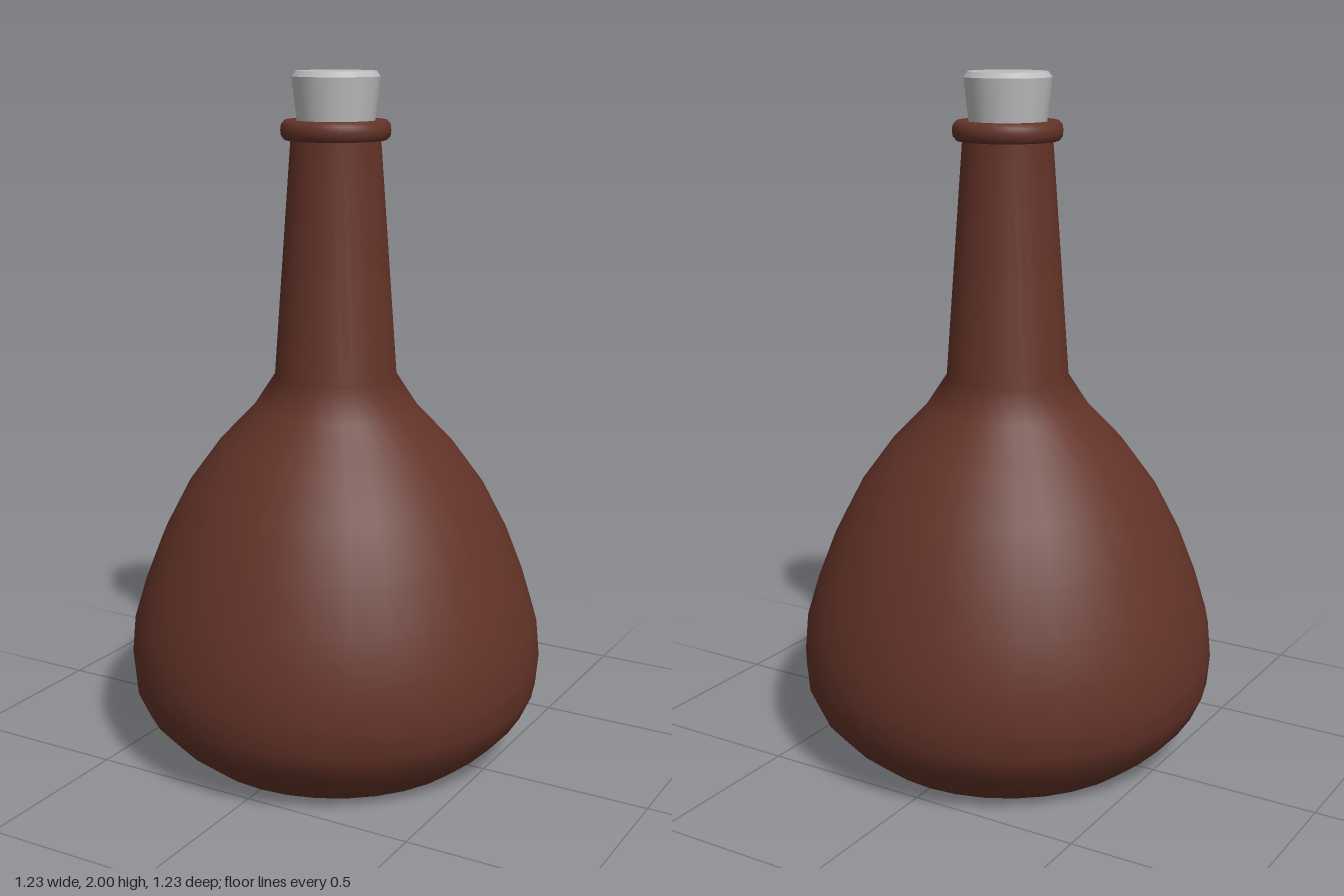
import * as THREE from 'three';

export function createModel() {
  const model = new THREE.Group();
  const glass = new THREE.MeshStandardMaterial({ color: 0x633328 });
  const stopperGrey = new THREE.MeshStandardMaterial({ color: 0xbcbcbc });
  glass.name = 'brownGlass';
  stopperGrey.name = 'stopperGrey';

  // Revolves [radius, height] points, listed from bottom to top
  function lathe(name, points, sides, material) {
    const profile = points.map(([r, y]) => new THREE.Vector2(r, y));
    const mesh = new THREE.Mesh(new THREE.LatheGeometry(profile, sides), material);
    mesh.name = name;
    model.add(mesh);
    return mesh;
  }

  // Bulbous body running smoothly into the tapered neck
  lathe('bodyAndNeck', [
    [0.435, 0], [0.51, 0.06], [0.573, 0.13], [0.605, 0.2], [0.613, 0.29],
    [0.603, 0.4], [0.567, 0.52], [0.514, 0.657], [0.44, 0.8], [0.345, 0.93],
    [0.24, 1.04], [0.178, 1.135], [0.128, 1.82],
  ], 32, glass);

  // Flat underside
  lathe('base', [[0, 0], [0.435, 0]], 32, glass);

  // Rounded lip around the mouth
  lathe('lip', [
    [0.12, 1.81], [0.145, 1.81], [0.155, 1.821], [0.157, 1.837],
    [0.155, 1.853], [0.145, 1.865], [0.12, 1.865], [0.1, 1.86],
  ], 32, glass);

  // Tapered stopper with a bevelled rim and flat top
  lathe('stopperSide', [[0.108, 1.83], [0.126, 1.985]], 16, stopperGrey);
  lathe('stopperBevel', [[0.126, 1.985], [0.115, 2]], 16, stopperGrey);
  lathe('stopperTop', [[0.115, 2], [0, 2]], 16, stopperGrey);

  return model;
}
